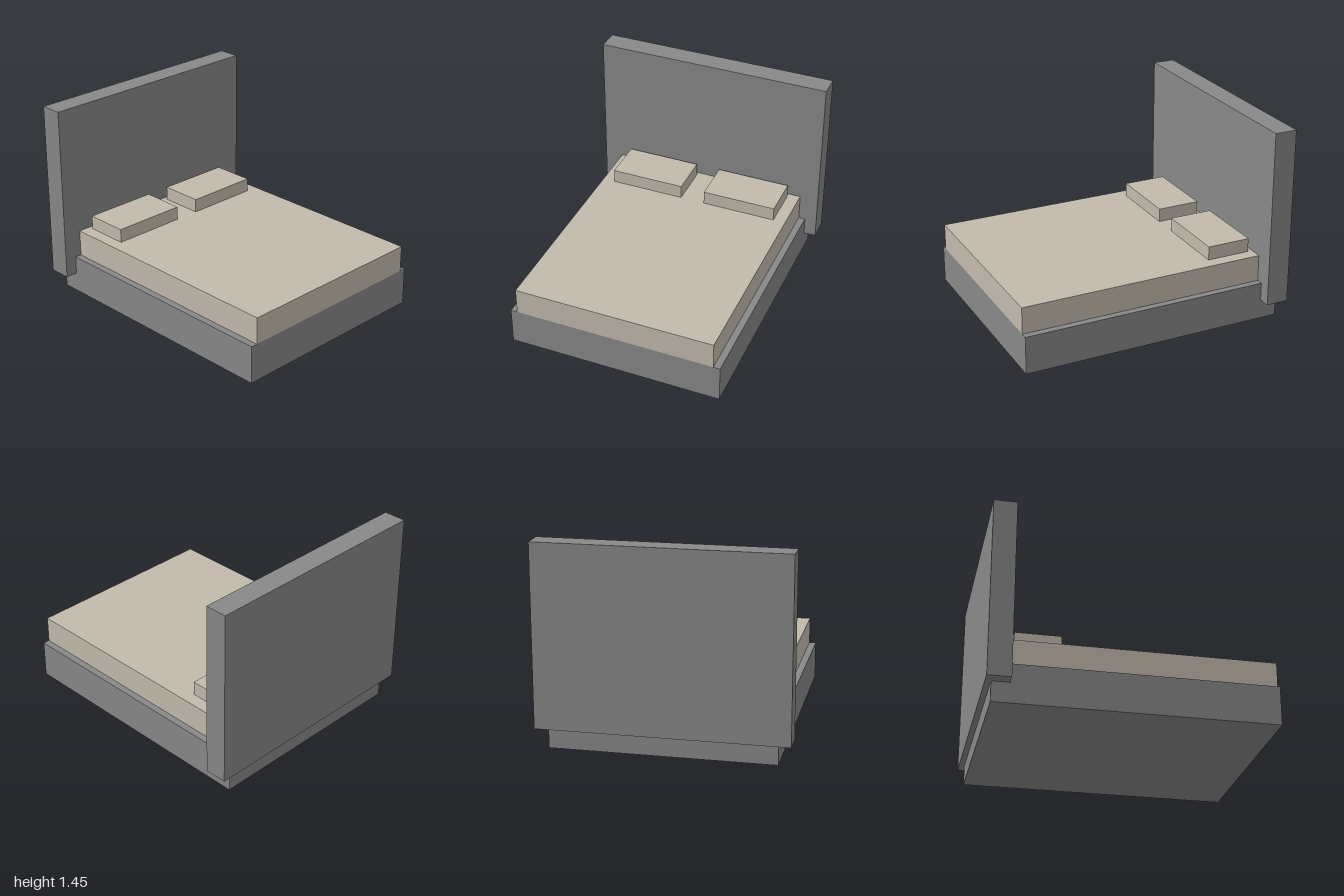
import * as THREE from 'three';

export function createModel() {
  const bed = new THREE.Group();
  bed.name = 'bed';

  const frameGrey = new THREE.MeshStandardMaterial({ color: 0x888888 });
  frameGrey.name = 'frame grey';
  const linenBeige = new THREE.MeshStandardMaterial({ color: 0xc3baad });
  linenBeige.name = 'linen beige';

  // Box given by its extents on each axis
  function block(name, material, [x0, x1], [y0, y1], [z0, z1]) {
    const mesh = new THREE.Mesh(new THREE.BoxGeometry(x1 - x0, y1 - y0, z1 - z0), material);
    mesh.position.set((x0 + x1) / 2, (y0 + y1) / 2, (z0 + z1) / 2);
    mesh.name = name;
    bed.add(mesh);
    return mesh;
  }

  // Base, running a little way under the headboard
  block('base', frameGrey, [-0.795, 0.795], [0, 0.28], [-0.96, 1]);
  block('headboard', frameGrey, [-0.885, 0.885], [0.145, 1.452], [-1, -0.835]);

  // Mattress, flush with the foot of the base
  block('mattress', linenBeige, [-0.745, 0.745], [0.28, 0.478], [-0.835, 1]);

  // Mirrored pair of pillows
  for (const [name, side] of [['leftPillow', 1], ['rightPillow', -1]]) {
    const pillow = block(name, linenBeige, [0.093, 0.652], [0.478, 0.58], [-0.8, -0.475]);
    pillow.position.x *= side;
  }

  return bed;
}
